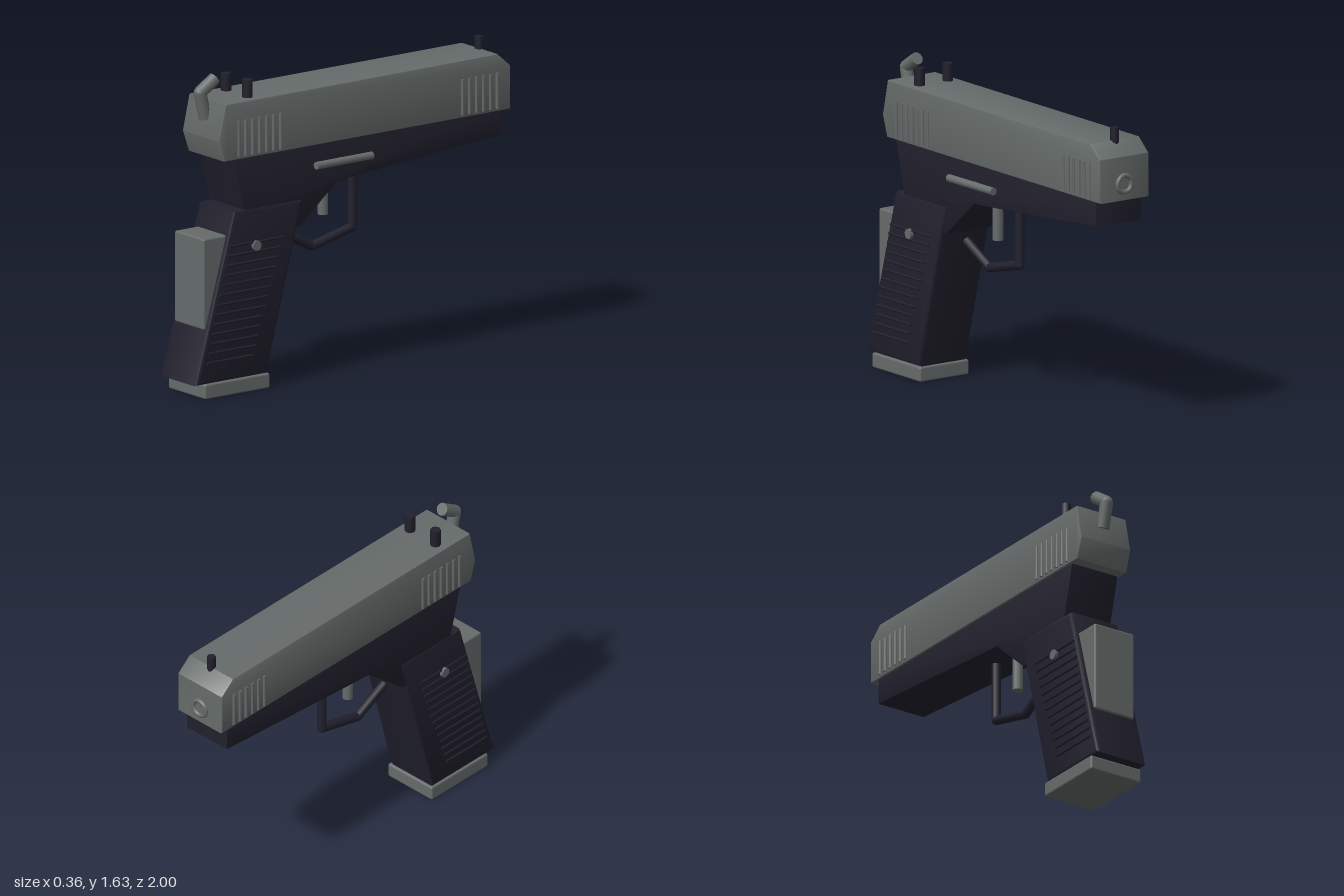
import * as THREE from 'three';
import { RoundedBoxGeometry } from 'three/addons/geometries/RoundedBoxGeometry.js';
import { toCreasedNormals } from 'three/addons/utils/BufferGeometryUtils.js';

export function createModel() {
  const model = new THREE.Group();
  model.name = 'pistol';
  const body = new THREE.Group();
  body.name = 'body';
  body.position.x = -0.013;
  model.add(body);

  const steel = new THREE.MeshStandardMaterial({ color: 0x666c6b });
  steel.name = 'steel grey';
  const polymer = new THREE.MeshStandardMaterial({ color: 0x21202d });
  polymer.name = 'dark polymer';

  const add = (name, geometry, material) => {
    const mesh = new THREE.Mesh(geometry, material);
    mesh.name = name;
    body.add(mesh);
    return mesh;
  };

  // Side profile of [z, y] points extruded across the width
  const slab = (name, points, width, bevel, material) => {
    const shape = new THREE.Shape(points.map(([z, y]) => new THREE.Vector2(z, y)));
    const geometry = new THREE.ExtrudeGeometry(shape, {
      depth: width - 2 * bevel, bevelEnabled: true, bevelSize: bevel,
      bevelThickness: bevel, bevelOffset: -bevel, bevelSegments: 2,
    });
    geometry.translate(0, 0, -width / 2 + bevel);
    geometry.rotateY(-Math.PI / 2);
    return add(name, toCreasedNormals(geometry, 0.6), material);
  };

  // Round bar between two [x, y, z] points
  const rod = (name, from, to, radius, material, sides = 10) => {
    const a = new THREE.Vector3(...from), b = new THREE.Vector3(...to);
    const dir = b.clone().sub(a);
    const mesh = add(name, new THREE.CylinderGeometry(radius, radius, dir.length(), sides), material);
    mesh.position.copy(a).add(b).multiplyScalar(0.5);
    mesh.quaternion.setFromUnitVectors(new THREE.Vector3(0, 1, 0), dir.normalize());
    return mesh;
  };

  // Bent bar: rods with a ball at each inner joint
  const bentRod = (name, points, radius, material) => {
    for (let i = 0; i < points.length - 1; i++) {
      rod(name, points[i], points[i + 1], radius, material, 12);
      if (i > 0) {
        add(name + 'Joint', new THREE.SphereGeometry(radius, 12, 8), material).position.set(...points[i]);
      }
    }
  };

  // Main bodies
  slab('slide', [[0.82, 1.21], [0.857, 1.32], [0.815, 1.505], [-0.905, 1.505],
    [-0.987, 1.435], [-0.987, 1.21]], 0.305, 0.008, steel);
  slab('frame', [[0.76, 1.215], [0.68, 0.9], [0.36, 0.8], [0.335, 0.8], [0.1, 1.0],
    [-0.935, 1.08], [-0.935, 1.215]], 0.28, 0.005, polymer);
  slab('grip', [[0.755, 0.942], [0.322, 0.942], [0.55, 0.075], [1.0, 0.075]], 0.296, 0.018, polymer);

  const base = add('magazineBase', new RoundedBoxGeometry(0.305, 0.077, 0.41, 2, 0.01), steel);
  base.position.set(0, 0.0385, 0.741);
  const strap = add('backstrap', new RoundedBoxGeometry(0.24, 0.47, 0.25, 2, 0.01), steel);
  strap.position.set(0, 0.585, 0.807);

  // Details repeated on both sides
  for (const side of [-1, 1]) {
    for (let i = 0; i < 13; i++) {
      const t = i / 12, y = 0.185 + 0.582 * t, x = side * 0.15;
      rod('gripRib', [x, y, 0.935 - 0.145 * t], [x, y, 0.645 - 0.195 * t], 0.007, polymer, 6);
    }
    const serration = z =>
      rod('slideSerration', [side * 0.153, 1.225, z], [side * 0.153, 1.41, z], 0.009, steel, 8);
    for (let i = 0; i < 7; i++) serration(0.735 - i * 0.0442);
    for (let i = 0; i < 6; i++) serration(-0.68 - i * 0.044);
    rod('gripScrew', [side * 0.13, 0.75, 0.625], [side * 0.165, 0.75, 0.625], 0.026, steel, 12);
    // Rear sight posts
    rod('rearSight', [side * 0.088, 1.48, 0.63], [side * 0.088, 1.596, 0.63], 0.027, polymer, 8);
  }
  rod('frontSight', [0, 1.48, -0.903], [0, 1.57, -0.903], 0.022, polymer, 8);

  // Controls
  bentRod('hammer', [[0, 1.41, 0.83], [0, 1.545, 0.862], [0, 1.605, 0.77]], 0.033, steel);
  rod('trigger', [0, 1.03, 0.085], [0, 0.8, 0.085], 0.027, steel, 12);
  bentRod('triggerGuard', [[0, 1.04, -0.102], [0, 0.707, -0.102], [0, 0.645, 0.155],
    [0, 0.745, 0.35]], 0.024, polymer);
  rod('slideCatch', [0.175, 1.11, 0.262], [0.163, 1.107, -0.1], 0.02, steel, 12);
  rod('slideCatchPin', [0.12, 1.105, 0.08], [0.17, 1.108, 0.08], 0.015, steel, 10);

  // Muzzle ring
  const muzzle = add('muzzleRing', new THREE.TorusGeometry(0.043, 0.013, 8, 24), steel);
  muzzle.position.set(0, 1.295, -0.987);

  return model;
}
